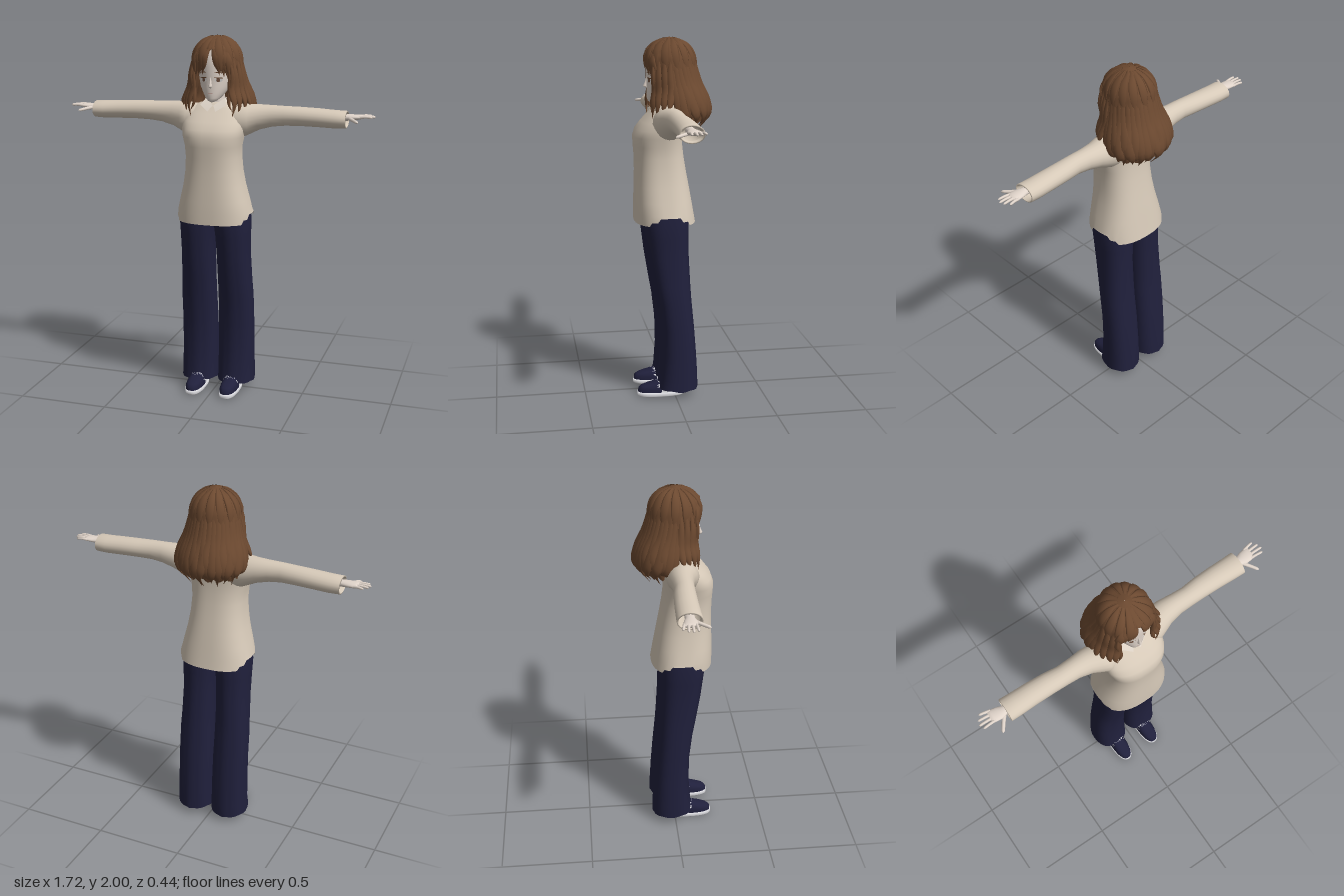
import * as THREE from 'three';

const V = (x, y, z) => new THREE.Vector3(x, y, z);
const mat = (name, color, double = false) => {
  const m = new THREE.MeshStandardMaterial({ color });
  m.name = name;
  if (double) m.side = THREE.DoubleSide;
  return m;
};

// Skin over a list of closed rings
function loft(rings) {
  const n = rings[0].length, index = [];
  for (let i = 0; i < rings.length - 1; i++) for (let j = 0; j < n; j++) {
    const a = i * n + j, b = i * n + (j + 1) % n;
    index.push(a, a + n, b, b, a + n, b + n);
  }
  const g = new THREE.BufferGeometry().setFromPoints(rings.flat());
  g.setIndex(index);
  g.computeVertexNormals();
  return g;
}

// Superellipse outline point
const pw = (v, n) => Math.sign(v) * Math.abs(v) ** (2 / n);
const around = (n, fn) => Array.from({ length: n }, (_, j) => fn(j / n * Math.PI * 2));

// Upright ring from centre x, height, half width, back z, front z
const ringY = (cx, y, rx, zb, zf, n = 2, seg = 32) => around(seg, a =>
  V(cx + rx * pw(Math.cos(a), n), y, (zb + zf) / 2 + (zf - zb) / 2 * pw(Math.sin(a), n)));

// Ring across the arm from x, bottom, top, back, front
const ringX = (x, yb, yt, zb, zf) => around(20, a =>
  V(x, (yb + yt) / 2 + (yt - yb) / 2 * Math.sin(a), (zb + zf) / 2 + (zf - zb) / 2 * Math.cos(a)));

// Read a table sorted by rising first value
function sample(table, y) {
  let i = 0;
  while (i < table.length - 2 && table[i + 1][0] < y) i++;
  const p = table[i], q = table[i + 1];
  const t = THREE.MathUtils.clamp((y - p[0]) / (q[0] - p[0]), 0, 1);
  return p.map((v, k) => v + (q[k] - v) * t);
}

// Flat tapered strand along a curve; up gives the thin direction
function strand(points, w, th, taper, up, steps = 14, seg = 8) {
  const curve = new THREE.CatmullRomCurve3(points), rings = [];
  for (let i = 0; i <= steps; i++) {
    const t = i / steps, p = curve.getPoint(t), d = curve.getTangent(t);
    const s = d.clone().cross(up || V(p.x, 0, p.z)).normalize(), n = s.clone().cross(d);
    const k = taper(t);
    rings.push(around(seg, a => p.clone().addScaledVector(s, w * k * Math.cos(a)).addScaledVector(n, th * k * Math.sin(a))));
  }
  return loft(rings);
}
const lockTaper = t => Math.max(0.01, (0.45 + 0.75 * Math.sin(t * Math.PI)) * Math.min(1, (1 - t) * 3));
const fingerTaper = t => t > 0.99 ? 0.05 : t > 0.9 ? 0.65 : 1 - 0.25 * t;

function mirrored(g) {
  const m = g.clone().scale(-1, 1, 1), ix = m.index.array;
  for (let i = 0; i < ix.length; i += 3) [ix[i], ix[i + 1]] = [ix[i + 1], ix[i]];
  m.computeVertexNormals();
  return m;
}

const headTable = [
  [1.652, 0.004, 0.095, 0.118], [1.660, 0.024, 0.07, 0.13], [1.675, 0.042, 0.03, 0.135], [1.70, 0.06, -0.02, 0.137],
  [1.735, 0.079, -0.05, 0.137], [1.78, 0.09, -0.075, 0.136], [1.84, 0.097, -0.09, 0.14],
  [1.90, 0.093, -0.09, 0.134], [1.94, 0.07, -0.07, 0.11], [1.965, 0.035, -0.03, 0.07], [1.972, 0.002, 0.01, 0.02]];
const hairTable = [
  [1.50, 0.145, -0.15, 0.08], [1.57, 0.172, -0.195, 0.1], [1.64, 0.182, -0.2, 0.11], [1.70, 0.163, -0.175, 0.12],
  [1.78, 0.145, -0.15, 0.14], [1.85, 0.14, -0.138, 0.154], [1.90, 0.132, -0.13, 0.152], [1.94, 0.112, -0.11, 0.135],
  [1.97, 0.082, -0.08, 0.10], [1.99, 0.045, -0.035, 0.06], [2.0, 0.002, 0.01, 0.014]];

// Depth of the face surface
function faceZ(x, y) {
  const [, rx, zb, zf] = sample(headTable, y);
  return (zb + zf) / 2 + (zf - zb) / 2 * Math.sqrt(Math.max(0, 1 - (x / rx) ** 2));
}

// Point on the hair surface; angle 0 is the front, positive to +x
function hairPoint(a, y, lift = 0) {
  const [, rx, zb, zf] = sample(hairTable, y);
  return V((rx + lift) * Math.sin(a), y, (zb + zf) / 2 + ((zf - zb) / 2 + lift) * Math.cos(a));
}

export function createModel() {
  const root = new THREE.Group();
  const skin = mat('skin', 0xe0d4ca), knit = mat('sweaterKnit', 0xd6c9b8, true), hair = mat('hair', 0x6c4930, true);
  const navy = mat('trouserCloth', 0x20203c, true), white = mat('shoeWhite', 0xdcdce0), shirt = mat('shirtCollar', 0xdad0c4, true);
  const eyeWhite = mat('eyeWhite', 0xeeeae6), iris = mat('iris', 0x7a5a48), lip = mat('lip', 0xb98a80);
  const add = (name, g, m, parent = root) => {
    const mesh = new THREE.Mesh(g, m);
    mesh.name = name;
    parent.add(mesh);
  };
  const pair = (name, g, m, parent = root) => {
    add(name + 'Left', g, m, parent);
    add(name + 'Right', mirrored(g), m, parent);
  };

  // Sweater body with raised, stepped side hem
  const torso = [
    [0.998, 0.206, -0.125, 0.21], [1.055, 0.203, -0.115, 0.211], [1.12, 0.188, -0.104, 0.21], [1.2, 0.168, -0.09, 0.208],
    [1.28, 0.155, -0.075, 0.206], [1.36, 0.15, -0.062, 0.207], [1.42, 0.154, -0.055, 0.212], [1.47, 0.166, -0.052, 0.214],
    [1.51, 0.172, -0.052, 0.2], [1.55, 0.172, -0.054, 0.168], [1.59, 0.165, -0.054, 0.128], [1.62, 0.14, -0.046, 0.1],
    [1.638, 0.095, -0.036, 0.085], [1.648, 0.055, -0.025, 0.068]];
  const rings = torso.map(([y, rx, zb, zf]) => ringY(0, y, rx, zb, zf, 2.5, 64));
  rings[0].forEach(p => {
    const d = Math.abs(p.z - 0.035);
    if (Math.abs(p.x) > 0.13) p.y += d < 0.055 ? 0.046 : d < 0.1 ? 0.022 : 0;
  });
  add('sweaterBody', loft(rings), knit);

  // Sleeves with a turned-in cuff
  const sleeve = [
    [0.09, 1.45, 1.635, -0.045, 0.12], [0.15, 1.46, 1.641, -0.05, 0.125], [0.19, 1.478, 1.641, -0.048, 0.11],
    [0.24, 1.503, 1.64, -0.045, 0.09], [0.31, 1.522, 1.638, -0.036, 0.077], [0.38, 1.53, 1.636, -0.032, 0.075],
    [0.46, 1.532, 1.634, -0.042, 0.074], [0.56, 1.53, 1.63, -0.048, 0.074], [0.65, 1.527, 1.624, -0.051, 0.076],
    [0.71, 1.53, 1.622, -0.053, 0.077], [0.712, 1.537, 1.615, -0.046, 0.07], [0.68, 1.54, 1.61, -0.04, 0.064]];
  pair('sleeve', loft(sleeve.map(s => ringX(...s))), knit);

  // Hands: wrist and palm, four fingers, thumb
  const hands = new THREE.Group();
  hands.name = 'hands';
  const palm = [[0.64, 1.565, 1.605, -0.012, 0.036], [0.71, 1.57, 1.605, -0.013, 0.037], [0.745, 1.574, 1.605, -0.024, 0.046],
    [0.78, 1.58, 1.604, -0.03, 0.043], [0.795, 1.585, 1.601, -0.027, 0.038], [0.797, 1.592, 1.594, 0, 0.01]];
  pair('palm', loft(palm.map(s => ringX(...s))), skin, hands);
  [[-0.023, -0.035, 0.835], [-0.004, -0.01, 0.855], [0.015, 0.014, 0.862], [0.033, 0.038, 0.85]].forEach(([z0, z1, x], i) =>
    pair('finger' + (i + 1), strand([V(0.775, 1.592, z0), V((0.775 + x) / 2, 1.596, (z0 + z1) / 2), V(x, 1.594, z1)],
      0.0085, 0.008, fingerTaper, V(0, 1, 0), 10), skin, hands));
  pair('thumb', strand([V(0.725, 1.585, 0.028), V(0.752, 1.58, 0.063), V(0.782, 1.574, 0.105)], 0.011, 0.01, fingerTaper, V(0, 1, 0), 10), skin, hands);
  root.add(hands);

  // Trousers: creased legs and a hip piece
  const leg = [
    [0.045, 0.004, 0.209, -0.132, 0.1], [0.12, 0.004, 0.208, -0.13, 0.09], [0.25, 0.006, 0.207, -0.122, 0.08],
    [0.4, 0.008, 0.206, -0.11, 0.083], [0.55, 0.011, 0.205, -0.095, 0.1], [0.65, 0.012, 0.199, -0.088, 0.118],
    [0.8, 0.011, 0.193, -0.08, 0.143], [0.92, 0.005, 0.195, -0.078, 0.158], [1.0, -0.005, 0.198, -0.08, 0.168], [1.09, -0.01, 0.188, -0.075, 0.165]];
  pair('trouserLeg', loft(leg.map(([y, x0, x1, zb, zf], i) => {
    const r = ringY((x0 + x1) / 2, y, (x1 - x0) / 2, zb + 0.006, zf - 0.006, 2.4, 32);
    r[8].z += 0.007;
    r[24].z -= 0.007;
    if (i === 0) r.forEach(p => { p.y += 0.12 * Math.max(0, p.z) + 0.004 * Math.sin(p.z * 60); });
    return r;
  })), navy);
  add('trouserHips', loft([[0.962, 0.03, 0.02, 0.07], [0.975, 0.14, -0.05, 0.13], [1.0, 0.185, -0.076, 0.16],
    [1.09, 0.185, -0.076, 0.165]].map(([y, ...r]) => ringY(0, y, ...r, 2.6))), navy);

  // Shoes: white sole, navy upper with a white middle panel
  const foot = (y, w, zb, zf) => ringY(0.1, y, w, zb, zf, 2.5);
  pair('shoeSole', loft([foot(0, 0.001, 0.07, 0.08), foot(0, 0.046, -0.05, 0.205), foot(0.006, 0.051, -0.054, 0.212),
    foot(0.026, 0.051, -0.054, 0.212), foot(0.026, 0.001, 0.07, 0.08)]), white);
  const upper = [[0.026, 0.048, -0.051, 0.208], [0.045, 0.048, -0.052, 0.206], [0.058, 0.045, -0.052, 0.192], [0.068, 0.041, -0.051, 0.165],
    [0.082, 0.038, -0.05, 0.11], [0.105, 0.034, -0.048, 0.07], [0.14, 0.032, -0.045, 0.055], [0.14, 0.001, 0, 0.005]];
  const shoe = loft(upper.map(r => foot(...r)));
  const ix = shoe.index.array, pos = shoe.attributes.position, dark = [], light = [];
  for (let i = 0; i < ix.length; i += 3) {
    const t = [ix[i], ix[i + 1], ix[i + 2]], z = t.reduce((s, k) => s + pos.getZ(k) / 3, 0);
    (z > -0.01 && z < 0.085 ? light : dark).push(...t);
  }
  shoe.setIndex([...dark, ...light]);
  shoe.addGroup(0, dark.length, 0);
  shoe.addGroup(dark.length, light.length, 1);
  pair('shoeUpper', shoe, [navy, white]);

  // Head, ears hidden by hair, neck and nose
  add('head', loft(headTable.map(([y, ...r]) => ringY(0, y, ...r, 2, 36))), skin);
  add('neck', loft([[1.58, 0.05, -0.025, 0.075], [1.64, 0.042, -0.025, 0.06], [1.72, 0.042, -0.03, 0.06]].map(([y, ...r]) => ringY(0, y, ...r))), skin);
  add('nose', loft([[1.728, 0.003, 0.13, 0.137], [1.735, 0.01, 0.12, 0.151], [1.741, 0.009, 0.12, 0.156], [1.76, 0.006, 0.12, 0.146],
    [1.79, 0.003, 0.12, 0.137]].map(([y, ...r]) => ringY(0, y, ...r, 2, 12))), skin);

  // Painted face plates laid on the face surface
  const plate = (x, y, w, h, lift, tilt = 0) => {
    const g = new THREE.CircleGeometry(1, 20).scale(w, h, 1).rotateZ(tilt).translate(x, y, 0), p = g.attributes.position;
    for (let i = 0; i < p.count; i++) p.setZ(i, faceZ(p.getX(i), p.getY(i)) + lift);
    return g;
  };
  pair('eyeWhite', plate(0.041, 1.772, 0.019, 0.011, 0.002), eyeWhite);
  pair('iris', plate(0.04, 1.772, 0.009, 0.0105, 0.0035), iris);
  pair('upperLash', plate(0.042, 1.784, 0.021, 0.0028, 0.004, -0.08), hair);
  pair('eyebrow', plate(0.043, 1.812, 0.021, 0.0022, 0.003, -0.1), hair);
  add('mouth', plate(0, 1.7, 0.013, 0.002, 0.002), lip);

  // Shirt collar: band with a front notch and two flaps
  add('collarBand', loft([[1.628, 0.075, -0.04, 0.09], [1.668, 0.05, -0.035, 0.07]].map(([y, ...r], i) =>
    ringY(0, y, ...r).map(p => { if (i && p.z > 0.03) p.y -= (p.z - 0.03) * 0.8; return p; }))), shirt);
  const flap = new THREE.BufferGeometry().setFromPoints([V(0.002, 1.632, 0.094), V(0.022, 1.603, 0.122), V(0.072, 1.634, 0.09), V(0.052, 1.668, 0.042)]);
  flap.setIndex([0, 1, 2, 0, 2, 3]);
  flap.computeVertexNormals();
  pair('collarFlap', flap, shirt);

  // Hair shell: high at the forehead, long at the back, softly ribbed
  const hairGroup = new THREE.Group();
  hairGroup.name = 'hair';
  const shell = [], step = THREE.MathUtils.smoothstep;
  for (let i = 0; i <= 24; i++) {
    const t = (1 - i / 24) ** 1.5;
    shell.push(around(96, u => {
      const a = Math.PI / 2 - u, b = Math.abs(Math.atan2(Math.sin(a), Math.cos(a)));
      const low = 1.925 - 0.1 * step(b, 0.25, 0.9) - 0.12 * step(b, 0.9, 1.3) - 0.155 * step(b, 1.25, 1.75) + 0.012 * Math.sin(b * 17);
      const y = 2 - (2 - low) * t;
      return hairPoint(a, y, 0.004 * Math.sin(b * 22) * t);
    }));
  }
  add('hairShell', loft(shell), hair, hairGroup);

  // Wavy locks hanging round the back and sides
  for (let i = 0; i < 11; i++) {
    const a = 1.42 + i * 0.165, k = Math.sin(i * 2.7), end = 1.525 + 0.025 * Math.cos(i * 4.1) + (i < 3 ? 0.05 : 0);
    pair('backLock' + i, strand([hairPoint(a, 1.88, -0.008), hairPoint(a + 0.03 * k, 1.76, 0), hairPoint(a - 0.06 * k, 1.66, 0.006),
      hairPoint(a + 0.05 * k, 1.585, 0.008 + 0.006 * k), hairPoint(a + 0.12 * k, end, -0.005)], 0.027, 0.012, lockTaper), hair, hairGroup);
  }

  // Fringe parted in the middle
  [[0.1, 0.022, 1.9, 0.047, 1.795], [0.22, 0.045, 1.9, 0.07, 1.785], [0.36, 0.065, 1.89, 0.09, 1.77], [0.55, 0.085, 1.88, 0.106, 1.75]].forEach(([a, x, y, x2, y2], i) =>
    pair('fringe' + i, strand([hairPoint(a, 1.955, -0.004), V(x + 0.008, y, 0.148 - x * 0.35), V(x2 - 0.004, (y + y2) / 2, 0.156 - x2 * 0.45), V(x2, y2, 0.147 - x2 * 0.4)],
      0.019, 0.008, lockTaper), hair, hairGroup));

  // Long face-framing locks curling over the shoulders
  [[0.095, 0.11, 0.108, 0.128, 0.112, 1.565, 0.02], [0.11, 0.09, 0.128, 0.15, 0.138, 1.56, 0.02],
    [0.125, 0.06, 0.145, 0.172, 0.165, 1.585, 0.019], [0.132, 0.03, 0.158, 0.19, 0.197, 1.62, 0.018],
    [0.1, 0.115, 0.1, 0.098, 0.122, 1.6, 0.011]].forEach(([x, z, x1, x2, x3, end, w], i) =>
    pair('sideLock' + i, strand([V(x - 0.005, 1.89, z - 0.005), V(x + 0.012, 1.8, z), V(x1, 1.72, z - 0.005), V(x2, 1.645, z + 0.008), V(x3, end, z + 0.012)],
      w, 0.011, lockTaper), hair, hairGroup));

  // Fine strands over the crown
  for (let i = 0; i < 7; i++) {
    const a = 0.35 + i * 0.42;
    pair('crownStrand' + i, strand([1.992, 1.965, 1.92, 1.86, 1.8].map((y, k) => hairPoint(a + k * 0.02, y, -0.003)), 0.02, 0.007, lockTaper), hair, hairGroup);
  }
  root.add(hairGroup);
  return root;
}
